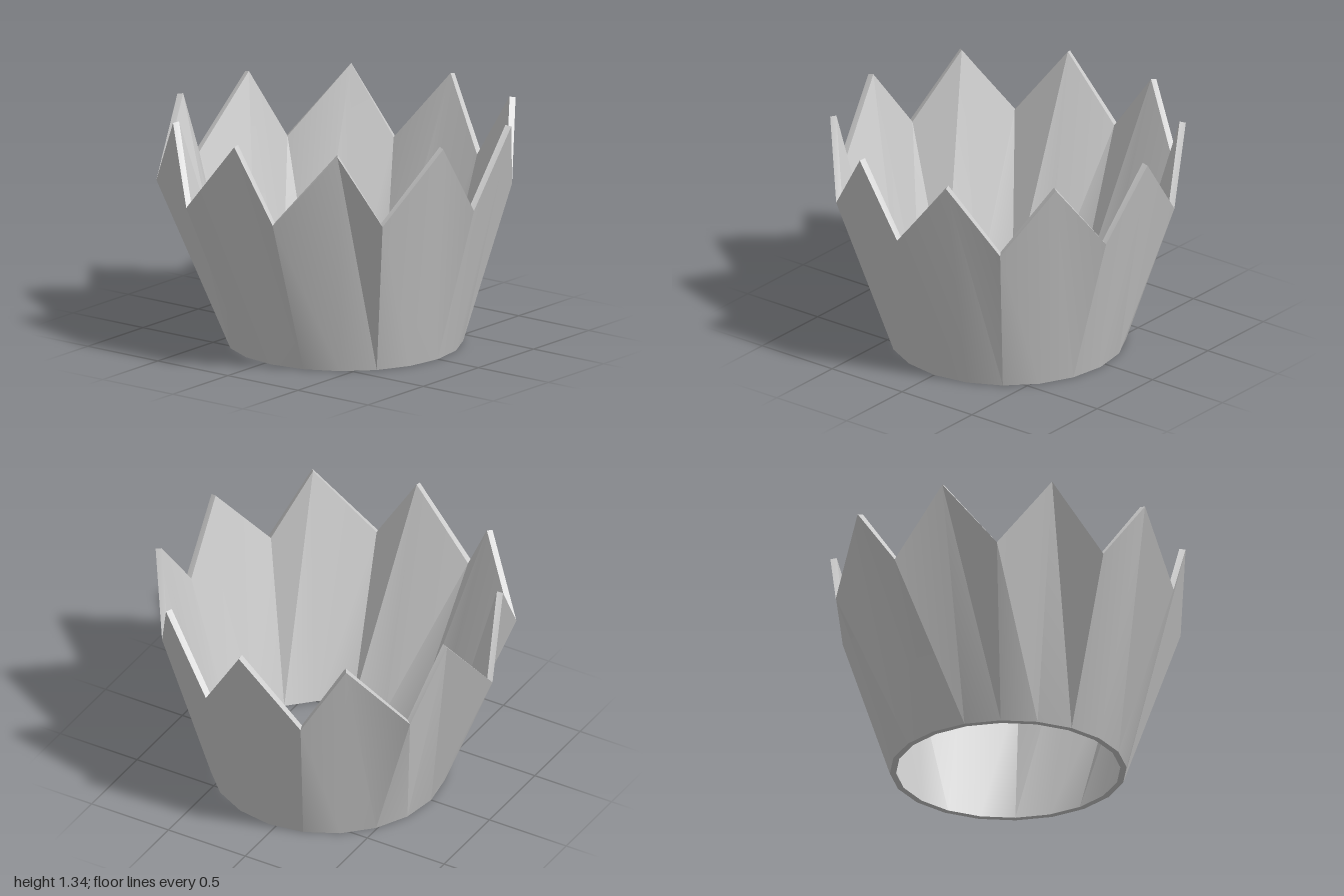
import * as THREE from 'three';
import { toCreasedNormals } from 'three/addons/utils/BufferGeometryUtils.js';

const COLUMNS = 20;

// Ring of columns; even columns are valleys, odd columns are peaks
function ring(valley, peak) {
  return Array.from({ length: COLUMNS }, (_, i) => {
    const { r, y, x, z } = i % 2 ? peak : valley;
    const a = (i / COLUMNS) * Math.PI * 2;
    return [x + r * Math.sin(a), y, z + r * Math.cos(a)];
  });
}

// Band of triangles from ring p to ring q, with a choice of diagonal
function band(out, p, q, flip = false) {
  for (let i = 0; i < COLUMNS; i++) {
    const j = (i + 1) % COLUMNS;
    if (flip) out.push(p[i], p[j], q[j], p[i], q[j], q[i]);
    else out.push(p[i], p[j], q[i], q[i], p[j], q[j]);
  }
}

export function createModel() {
  const group = new THREE.Group();

  // Base rings, and zigzag top rings whose valleys and peaks have slightly offset centres
  const base = (r) => ring({ r, y: 0, x: 0, z: 0.045 }, { r, y: 0, x: 0, z: 0.045 });
  const top = (r, yValley, yPeak) =>
    ring({ r, y: yValley, x: -0.037, z: 0 }, { r, y: yPeak, x: 0, z: 0.043 });
  const outerBase = base(0.665);
  const innerBase = base(0.63);
  const outerTop = top(0.998, 0.92, 1.335);
  const innerTop = top(0.963, 0.93, 1.342);

  // Outer wall, pointed rim, inner wall and bottom rim form a closed shell
  const points = [];
  band(points, outerBase, outerTop);
  band(points, outerTop, innerTop);
  band(points, innerTop, innerBase, true);
  band(points, innerBase, outerBase);

  const geometry = new THREE.BufferGeometry();
  geometry.setAttribute('position', new THREE.Float32BufferAttribute(points.flat(), 3));
  const wall = new THREE.Mesh(
    toCreasedNormals(geometry, THREE.MathUtils.degToRad(24)),
    new THREE.MeshStandardMaterial({ color: 0xcccccc })
  );
  wall.name = 'pointedCupWall';
  group.add(wall);
  return group;
}
